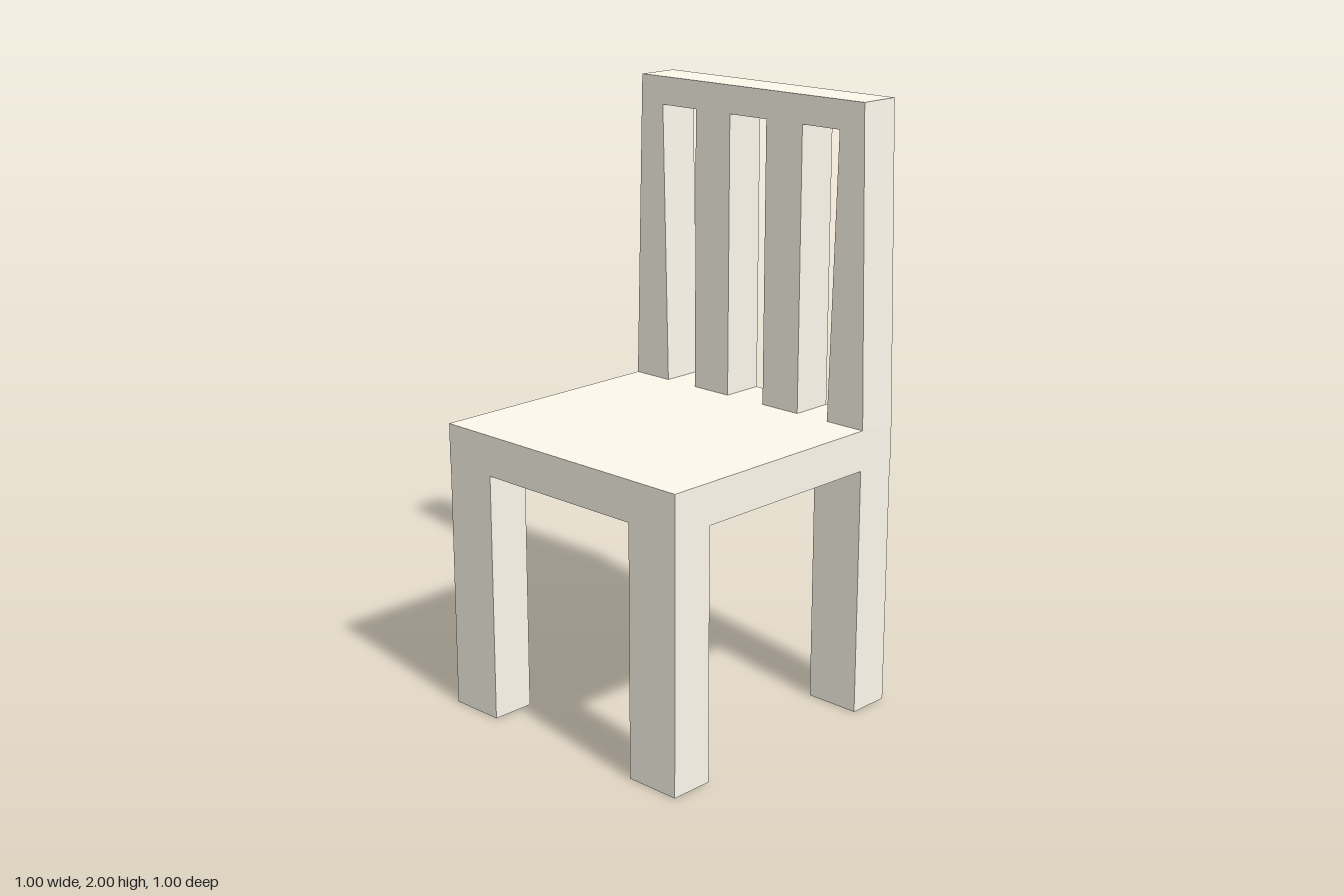
import * as THREE from 'three';

const SEAT_BOTTOM = 0.833, SEAT_TOP = 0.967, HALF = 0.5;

export function createModel() {
  const chair = new THREE.Group();
  chair.name = 'chair';
  const material = new THREE.MeshStandardMaterial({ color: 0xfffaed });

  const add = (name, geometry, x, y, z) => {
    const mesh = new THREE.Mesh(geometry, material);
    mesh.name = name;
    mesh.position.set(x, y, z);
    chair.add(mesh);
  };

  // Seat slab
  add('seat', new THREE.BoxGeometry(1, SEAT_TOP - SEAT_BOTTOM, 1), 0, (SEAT_TOP + SEAT_BOTTOM) / 2, 0);

  // Four legs at the seat corners, set in by a hair so the joint reads
  const legW = 0.19, legD = 0.148, inset = 0.001;
  for (const [side, sx] of [['Left', 1], ['Right', -1]]) {
    for (const [end, sz] of [['front', 1], ['back', -1]]) {
      add(`${end}${side}Leg`, new THREE.BoxGeometry(legW, SEAT_BOTTOM, legD),
        sx * (HALF - inset - legW / 2), SEAT_BOTTOM / 2, sz * (HALF - inset - legD / 2));
    }
  }

  // Backrest: tapered frame with two slats, its three gaps open down to the seat
  const gapTop = 1.907;
  const half = [
    [0.078, gapTop], [0.078, SEAT_TOP], [0.228, SEAT_TOP], [0.228, gapTop],
    [0.378, gapTop], [0.353, SEAT_TOP], [HALF, SEAT_TOP], [0.473, 2],
  ];
  const mirrored = half.map(([x, y]) => [-x, y]).reverse();
  const outline = [...half, ...mirrored].map(([x, y]) => new THREE.Vector2(x, y));
  const back = new THREE.ExtrudeGeometry(new THREE.Shape(outline), { depth: 0.146, bevelEnabled: false });
  add('backrest', back, 0, 0, -HALF);

  return chair;
}
